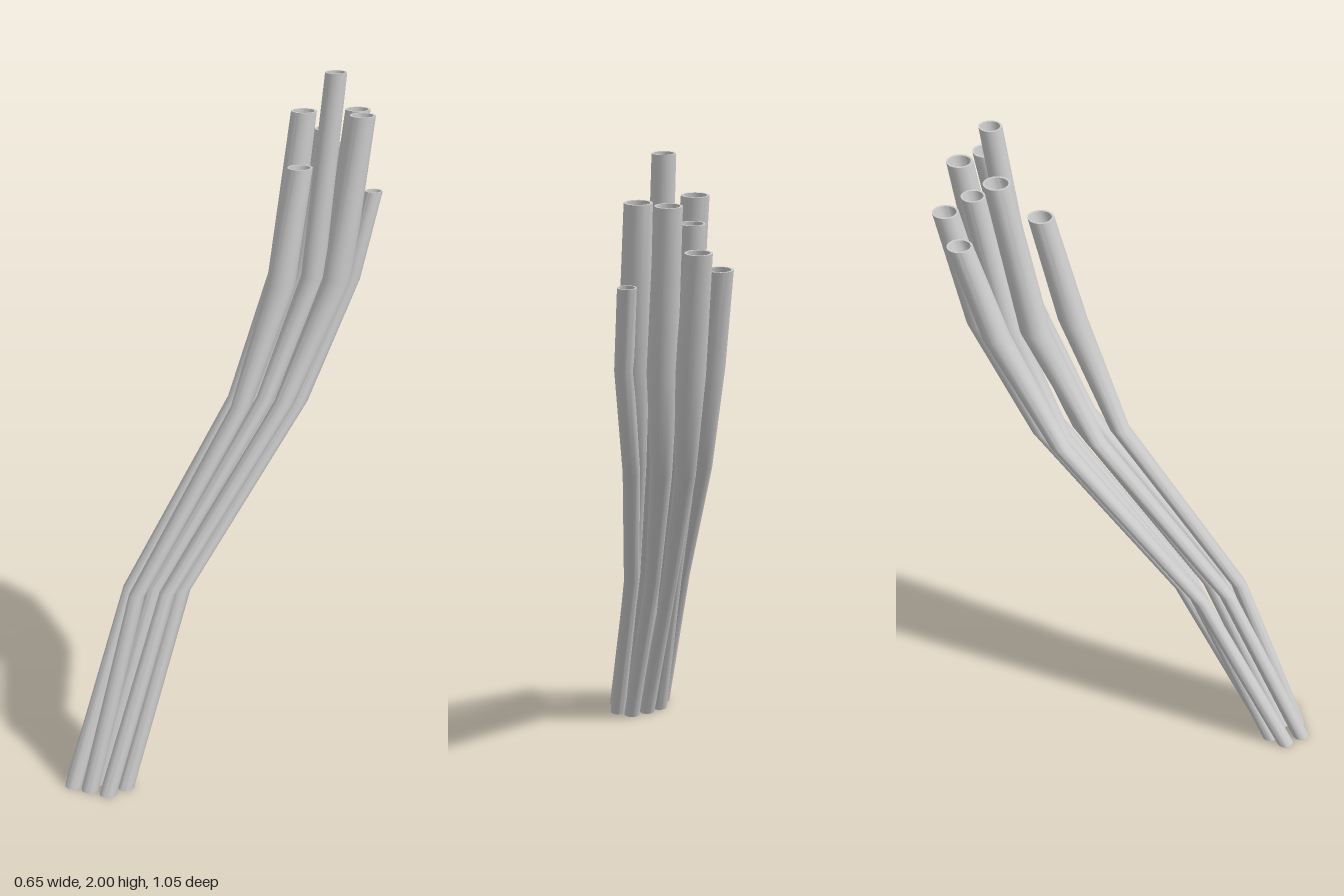
import * as THREE from 'three';
import { toCreasedNormals } from 'three/addons/utils/BufferGeometryUtils.js';

const SIDES = 24;
const { lerp } = THREE.MathUtils;

// Shared bending line of the bundle:
// centre x, y, z; blend from foot to tip layout; spread in x and z; pipe radius blend
const SPINE = [
  { x: -0.215, y: 0, z: 0.45, t: 0, sx: 1, sz: 1, thick: 0 },
  { x: -0.133, y: 0.56, z: 0.22, t: 0.35, sx: 0.85, sz: 1.1, thick: -0.1 },
  { x: 0.06, y: 1.06, z: -0.145, t: 0.55, sx: 0.97, sz: 1.2, thick: 0.4 },
  { x: 0.149, y: 1.41, z: -0.285, t: 0.85, sx: 1, sz: 1.1, thick: 1.4 },
];
const FOOT = SPINE[0];
const TIP = { x: 0.18, z: -0.365 };

// Each pipe: foot x, z; tip x, y, z; foot radius, tip radius
const PIPES = [
  [-0.300, 0.445, 0.070, 1.70, -0.460, 0.025, 0.036],
  [-0.275, 0.500, 0.080, 1.88, -0.350, 0.025, 0.038],
  [-0.220, 0.500, 0.120, 1.74, -0.230, 0.025, 0.037],
  [-0.160, 0.500, 0.260, 1.88, -0.360, 0.025, 0.038],
  [-0.130, 0.445, 0.298, 1.66, -0.365, 0.024, 0.026],
  [-0.215, 0.450, 0.178, 2.00, -0.352, 0.025, 0.032],
  [-0.265, 0.405, 0.126, 1.82, -0.412, 0.025, 0.034],
  [-0.215, 0.400, 0.155, 1.76, -0.488, 0.025, 0.037],
  [-0.160, 0.405, 0.215, 1.88, -0.437, 0.025, 0.037],
];

// Level rings along a pipe, [x, y, z, radius]
function pipeRings([fx, fz, tx, ty, tz, r0, r1]) {
  const rings = SPINE.map(({ x, y, z, t, sx, sz, thick }) => [
    x + sx * lerp(fx - FOOT.x, tx - TIP.x, t),
    y,
    z + sz * lerp(fz - FOOT.z, tz - TIP.z, t),
    lerp(r0, r1, thick),
  ]);
  rings.push([tx, ty, tz, r1]);
  return rings;
}

// Hollow pipe: up the outside, over the rim, down the inside, back to the foot
function pipeGeometry(rings) {
  const inner = rings.map(([x, y, z, r]) => [x, y, z, r * 0.82]).reverse();
  const loop = [...rings, ...inner, rings[0]];
  const positions = [];
  const index = [];
  loop.forEach(([x, y, z, r], i) => {
    for (let j = 0; j < SIDES; j++) {
      const a = (j / SIDES) * Math.PI * 2;
      positions.push(x + r * Math.cos(a), y, z + r * Math.sin(a));
      if (i === loop.length - 1) continue;
      const p = i * SIDES + j;
      const q = i * SIDES + ((j + 1) % SIDES);
      index.push(p, p + SIDES, q, q, p + SIDES, q + SIDES);
    }
  });
  const geometry = new THREE.BufferGeometry();
  geometry.setAttribute('position', new THREE.Float32BufferAttribute(positions, 3));
  geometry.setIndex(index);
  return toCreasedNormals(geometry, 0.5);
}

export function createModel() {
  const model = new THREE.Group();
  model.name = 'pipeBundle';
  const material = new THREE.MeshStandardMaterial({ color: 0xcccccc, side: THREE.DoubleSide });
  PIPES.forEach((pipe, i) => {
    const mesh = new THREE.Mesh(pipeGeometry(pipeRings(pipe)), material);
    mesh.name = `pipe${i + 1}`;
    model.add(mesh);
  });
  return model;
}
